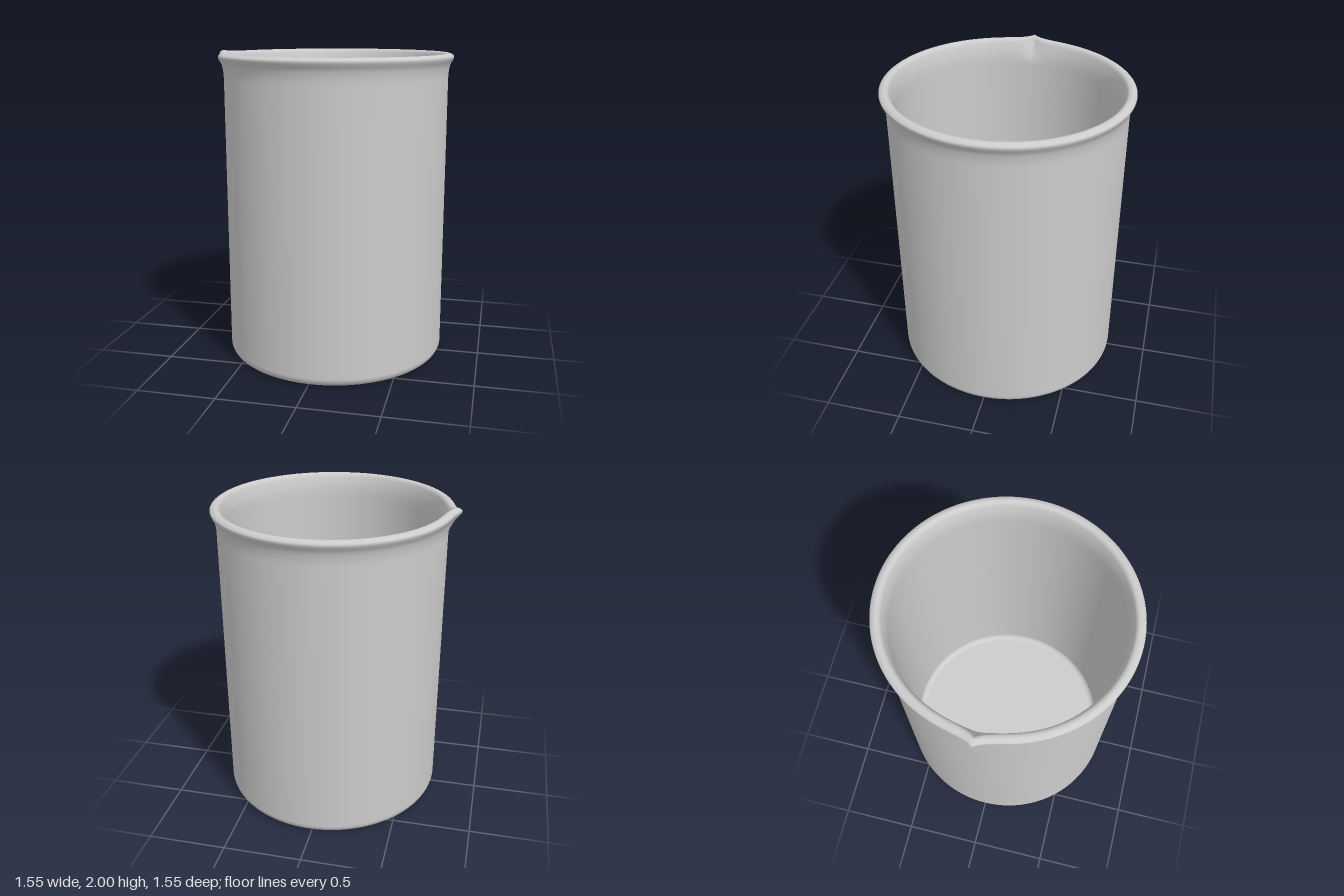
import * as THREE from 'three';
import { mergeVertices } from 'three/addons/utils/BufferGeometryUtils.js';

const SEGMENTS = 192;

// Points of a quarter-round corner in the profile
function corner(cx, cy, r, from, to, steps = 8) {
  return Array.from({ length: steps + 1 }, (_, i) => {
    const a = from + ((to - from) * i) / steps;
    return new THREE.Vector2(cx + r * Math.cos(a), cy + r * Math.sin(a));
  });
}

// Closed wall profile: base, outside, rolled lip, inside, inner floor
function wallProfile() {
  const lip = new THREE.CatmullRomCurve3([
    [0.74, 1.83], [0.742, 1.87], [0.752, 1.92], [0.773, 1.96], [0.772, 1.975],
    [0.745, 1.99], [0.72, 1.983], [0.704, 1.945], [0.693, 1.89], [0.69, 1.83],
  ].map(([x, y]) => new THREE.Vector3(x, y, 0)), false, 'centripetal');
  return [
    new THREE.Vector2(0, 0),
    ...corner(0.68, 0.06, 0.06, -Math.PI / 2, 0),
    ...lip.getPoints(36).map((p) => new THREE.Vector2(p.x, p.y)),
    ...corner(0.65, 0.09, 0.04, 0, -Math.PI / 2),
    new THREE.Vector2(0, 0.05),
  ];
}

// Pull the lip out to a point on the right-hand (-x) side
function formSpout(geometry) {
  const pos = geometry.attributes.position;
  for (let i = 0; i < pos.count; i++) {
    const x = pos.getX(i), y = pos.getY(i), z = pos.getZ(i);
    let px = x * 0.973 + 0.02; // body is slightly narrower in x
    if (x < 0 && y > 1.83) {
      const peak = Math.exp(-Math.abs(z) / 0.055);
      const rise = THREE.MathUtils.smoothstep(y, 1.83, 1.98);
      px -= 0.045 * peak * rise;
      pos.setY(i, y + 0.01 * peak * rise);
    }
    pos.setX(i, px);
  }
}

export function createModel() {
  const group = new THREE.Group();
  group.name = 'beaker';

  const lathe = new THREE.LatheGeometry(wallProfile(), SEGMENTS);
  formSpout(lathe);
  // Weld the seam so the shading is smooth all round
  lathe.deleteAttribute('uv');
  lathe.deleteAttribute('normal');
  const geometry = mergeVertices(lathe, 1e-5);
  geometry.computeVertexNormals();

  const vessel = new THREE.Mesh(
    geometry,
    new THREE.MeshStandardMaterial({ color: 0xcccccc, side: THREE.DoubleSide })
  );
  vessel.name = 'vesselWithSpout';
  group.add(vessel);
  return group;
}
